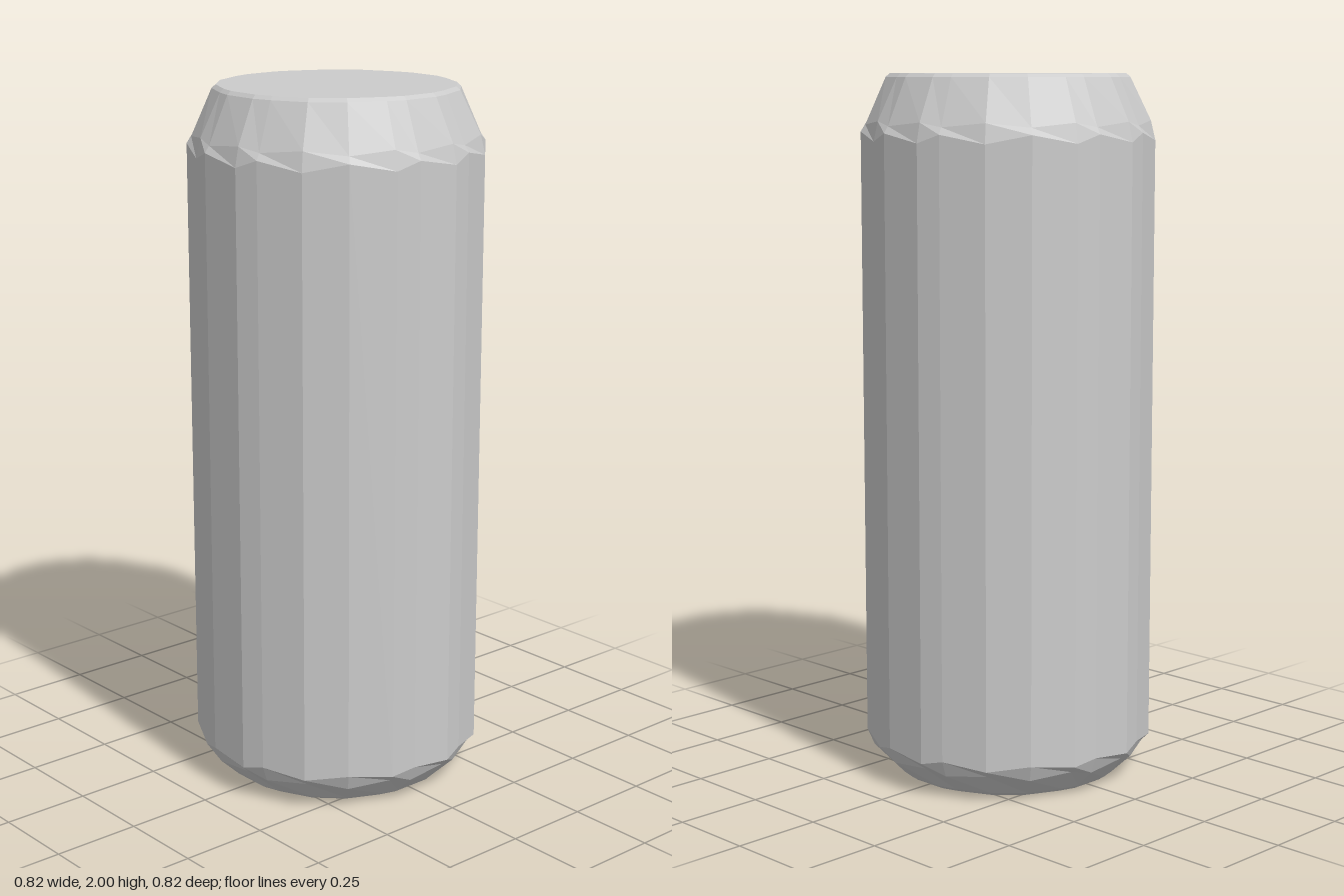
import * as THREE from 'three';

// Uneven facet corners within one quarter turn, in degrees, and their radius factors
const ANGLES = [9, 18.4, 36.4, 53.6, 71.6, 81];
const FACTORS = [1, 0.99, 1, 1, 0.99, 1];
const SIDES = 24;

const material = new THREE.MeshStandardMaterial({ color: 0xcccccc, flatShading: true });

// Faceted band around y. Each ring is [radius, height, scallop]
function band(name, rings) {
  const points = rings.map(([r, y]) => new THREE.Vector2(r, y));
  const geometry = new THREE.LatheGeometry(points, SIDES);
  const position = geometry.attributes.position;
  for (let i = 0; i <= SIDES; i++) {
    const k = i % SIDES;
    const angle = THREE.MathUtils.degToRad(ANGLES[k % 6] + 90 * Math.floor(k / 6));
    rings.forEach(([r, y, scallop = 0], j) => {
      const radius = r * FACTORS[k % 6];
      const height = y + (k % 2 ? scallop : -scallop);
      position.setXYZ(i * rings.length + j, radius * Math.sin(angle), height, radius * Math.cos(angle));
    });
  }
  const flat = geometry.toNonIndexed();
  flat.computeVertexNormals();
  const mesh = new THREE.Mesh(flat, material);
  mesh.name = name;
  return mesh;
}

export function createModel() {
  const group = new THREE.Group();
  group.name = 'can';

  // Rings shared by neighbouring parts
  const baseEdge = [0.32, 0];
  const bodyBottom = [0.415, 0.105, 0.008];
  const bodyTop = [0.415, 1.828, 0.012];
  const lidEdge = [0.333, 2];

  group.add(
    band('bottomCap', [[0, 0], baseEdge]),
    // Rounded lower edge
    band('base', [baseEdge, [0.338, 0.012], [0.395, 0.072, -0.006], bodyBottom]),
    band('body', [bodyBottom, bodyTop]),
    // Tapered neck with a narrow bevelled rim
    band('shoulder', [bodyTop, [0.402, 1.865, -0.006], [0.344, 1.99], lidEdge]),
    band('lid', [lidEdge, [0, 2]]),
  );
  return group;
}
